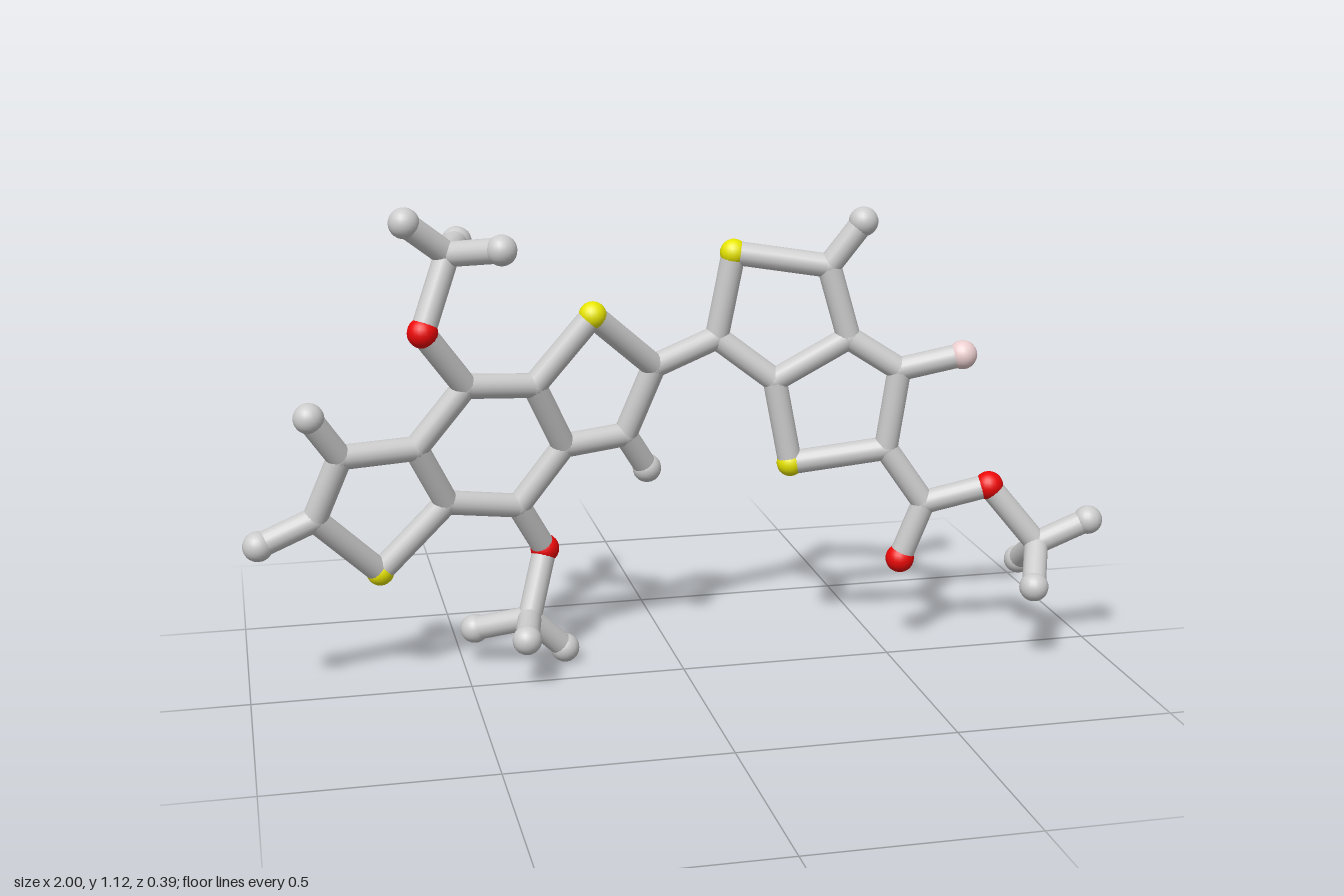
import * as THREE from 'three';

const BOND_RADIUS = 0.028;

// radius and color of the ball at each kind of joint
const KINDS = {
  carbon: [0.0285, 0xcccccc],
  hydrogen: [0.034, 0xcccccc],
  oxygen: [0.034, 0xee0808],
  sulfur: [0.032, 0xe8e600],
  fluorine: [0.034, 0xeccfd0],
};

// the two fused ring systems are flat, each in its own tilted plane
const leftPlane = (x, y) => -0.288 - 0.23 * x + 0.249 * y;
const rightPlane = (x, y) => -0.16 + 0.235 * x + 0.01 * y;

export function createModel() {
  const model = new THREE.Group();
  model.name = 'molecule';
  const materials = {};
  const geometries = {};
  for (const [kind, [radius, color]] of Object.entries(KINDS)) {
    materials[kind] = new THREE.MeshStandardMaterial({ color });
    geometries[kind] = new THREE.SphereGeometry(radius, 20, 14);
  }
  const rod = new THREE.CylinderGeometry(BOND_RADIUS, BOND_RADIUS, 1, 18, 1, true);
  const up = new THREE.Vector3(0, 1, 0);

  function atom(parent, kind, x, y, z) {
    const ball = new THREE.Mesh(geometries[kind], materials[kind]);
    ball.name = kind + 'Atom';
    ball.position.set(x, y, z);
    parent.add(ball);
    return ball.position;
  }

  function bond(parent, a, b) {
    const mesh = new THREE.Mesh(rod, materials.carbon);
    const dir = b.clone().sub(a);
    mesh.name = 'bond';
    mesh.position.copy(a).lerp(b, 0.5);
    mesh.scale.y = dir.length();
    mesh.quaternion.setFromUnitVectors(up, dir.normalize());
    parent.add(mesh);
  }

  function part(name) {
    const group = new THREE.Group();
    group.name = name;
    model.add(group);
    return group;
  }

  // flat system: atoms as name -> [kind, x, y], bonds as chains of names
  function flatPart(name, plane, atoms, chains) {
    const group = part(name);
    const p = {};
    for (const [key, [kind, x, y]] of Object.entries(atoms)) {
      p[key] = atom(group, kind, x, y, plane(x, y));
    }
    for (const chain of chains) {
      const keys = chain.split(' ');
      for (let i = 1; i < keys.length; i++) bond(group, p[keys[i - 1]], p[keys[i]]);
    }
    return p;
  }

  // carbon with three hydrogens, hung on an oxygen
  function methyl(name, oxygen, centre, hydrogens) {
    const group = part(name);
    const c = atom(group, 'carbon', ...centre);
    bond(group, oxygen, c);
    for (const h of hydrogens) bond(group, c, atom(group, 'hydrogen', ...h));
  }

  // left system: five-ring, six-ring, five-ring
  const left = flatPart('leftRings', leftPlane, {
    s1: ['sulfur', -0.695, 0.278],
    c1: ['carbon', -0.84, 0.433],
    c2: ['carbon', -0.78, 0.578],
    c3: ['carbon', -0.61, 0.578],
    c4: ['carbon', -0.54, 0.433],
    c5: ['carbon', -0.369, 0.4],
    c6: ['carbon', -0.262, 0.54],
    c7: ['carbon', -0.337, 0.7],
    c8: ['carbon', -0.497, 0.716],
    s2: ['sulfur', -0.203, 0.856],
    c9: ['carbon', -0.048, 0.716],
    c10: ['carbon', -0.112, 0.55],
    h1: ['hydrogen', -0.966, 0.385],
    h2: ['hydrogen', -0.845, 0.68],
    h3: ['hydrogen', -0.053, 0.455],
    o1: ['oxygen', -0.593, 0.853],
    o2: ['oxygen', -0.302, 0.277],
  }, ['s1 c1 c2 c3 c4 s1', 'c4 c5 c6 c7 c8 c3', 'c7 s2 c9 c10 c6',
    'c1 h1', 'c2 h2', 'c10 h3', 'c8 o1', 'c5 o2']);

  // right system: two fused five-rings with the ester arm
  const right = flatPart('rightRings', rightPlane, {
    c1: ['carbon', 0.107, 0.77],
    s1: ['sulfur', 0.144, 0.97],
    c2: ['carbon', 0.358, 0.94],
    c3: ['carbon', 0.406, 0.77],
    c4: ['carbon', 0.24, 0.668],
    s2: ['sulfur', 0.278, 0.467],
    c5: ['carbon', 0.497, 0.503],
    c6: ['carbon', 0.523, 0.695],
    h1: ['hydrogen', 0.433, 1.043],
    f1: ['fluorine', 0.665, 0.73],
    c7: ['carbon', 0.588, 0.37],
    o1: ['oxygen', 0.537, 0.23],
    o2: ['oxygen', 0.737, 0.412],
  }, ['c1 s1 c2 c3 c4 c1', 'c4 s2 c5 c6 c3', 'c2 h1', 'c6 f1', 'c5 c7 o1', 'c7 o2']);

  bond(part('linkBond'), left.c9, right.c1);

  methyl('upperMethyl', left.o1, [-0.53, 1.015, 0.015],
    [[-0.625, 1.093, 0.057], [-0.422, 1.034, 0.1], [-0.495, 1.022, -0.105]]);
  methyl('lowerMethyl', left.o2, [-0.35, 0.128, -0.09],
    [[-0.472, 0.088, -0.155], [-0.376, 0.124, 0.046], [-0.263, 0.038, -0.115]]);
  methyl('esterMethyl', right.o2, [0.85, 0.272, 0.05],
    [[0.966, 0.33, 0.078], [0.805, 0.2, 0.156], [0.848, 0.198, -0.055]]);

  return model;
}
